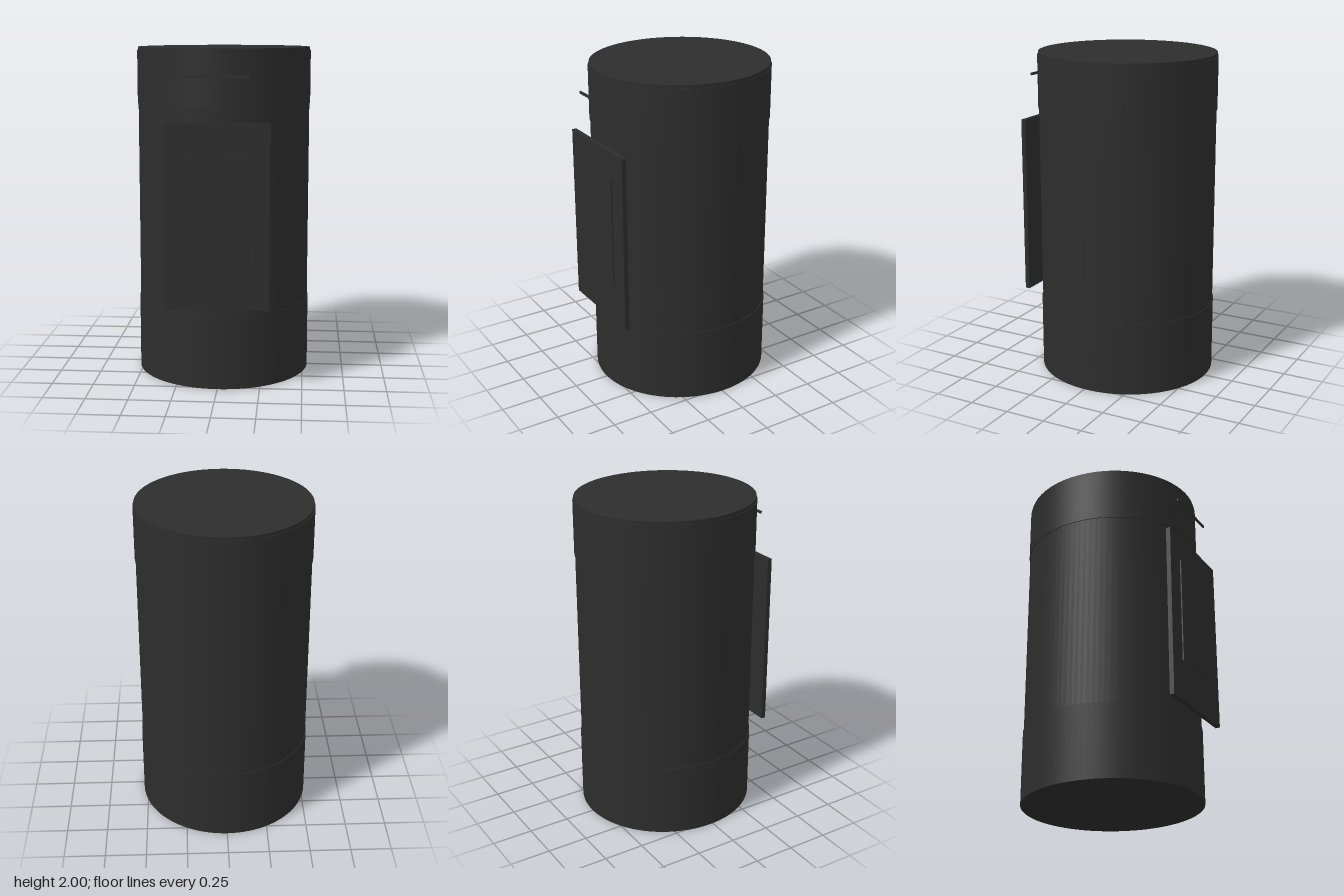
import * as THREE from 'three';

export function createModel() {
  const model = new THREE.Group();
  const charcoal = new THREE.MeshStandardMaterial({ color: 0x2d2d2d });
  charcoal.name = 'charcoal';

  const add = (name, geometry, x, y, z) => {
    const mesh = new THREE.Mesh(geometry, charcoal);
    mesh.name = name;
    mesh.position.set(x, y, z);
    model.add(mesh);
  };

  // Slightly oval drum section between two heights
  const drum = (name, rx, rz, y0, y1) => {
    const geometry = new THREE.CylinderGeometry(1, 1, y1 - y0, 96);
    geometry.scale(rx, 1, rz);
    add(name, geometry, 0, (y0 + y1) / 2, -0.017);
  };

  // Flat plate spanning the given ranges, symmetric in x
  const plate = (name, halfWidth, y0, y1, z0, z1) =>
    add(name, new THREE.BoxGeometry(halfWidth * 2, y1 - y0, z1 - z0), 0, (y0 + y1) / 2, (z0 + z1) / 2);

  // Drum body with wider bands and a thin lid
  drum('body', 0.525, 0.542, 0.01, 1.99);
  drum('lowerBand', 0.53, 0.547, 0, 0.45);
  drum('upperBand', 0.53, 0.547, 1.66, 1.98);
  drum('lid', 0.525, 0.542, 1.98, 2);

  // Front door, its inset panel and the slot above
  plate('frontDoor', 0.305, 0.49, 1.58, 0.528, 0.556);
  plate('doorPanel', 0.183, 0.74, 1.41, 0.556, 0.564);
  plate('frontSlot', 0.185, 1.835, 1.85, 0.549, 0.558);

  return model;
}
